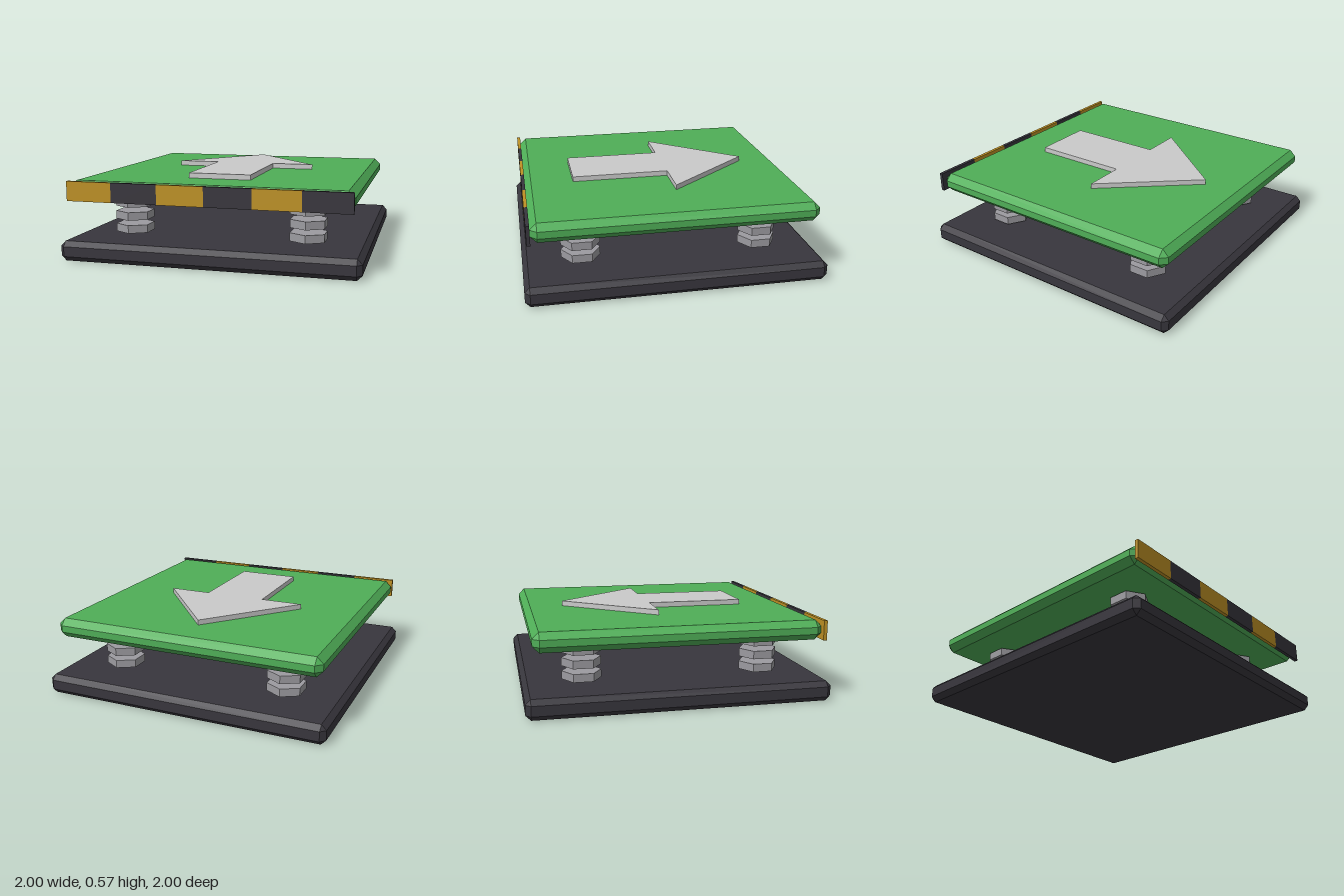
import * as THREE from 'three';
import { ConvexGeometry } from 'three/addons/geometries/ConvexGeometry.js';

const material = (name, color) => {
  const m = new THREE.MeshStandardMaterial({ color });
  m.name = name;
  return m;
};

// Box with every edge and corner cut off by the same amount
function chamferBox(w, h, d, c) {
  const points = [];
  for (const sx of [-1, 1]) for (const sy of [-1, 1]) for (const sz of [-1, 1]) {
    for (let axis = 0; axis < 3; axis++) {
      const p = [w / 2 - c, h / 2 - c, d / 2 - c];
      p[axis] += c;
      points.push(new THREE.Vector3(sx * p[0], sy * p[1], sz * p[2]));
    }
  }
  return new ConvexGeometry(points);
}

export function createModel() {
  const dark = material('charcoal', 0x38363d);
  const green = material('green', 0x4fae57);
  const yellow = material('amber', 0xbf9225);
  const steel = material('steel grey', 0x9c9ba0);
  const pale = material('pale grey', 0xcacaca);

  const model = new THREE.Group();
  model.name = 'jumpPad';
  const add = (parent, name, geometry, mat, x, y, z) => {
    const mesh = new THREE.Mesh(geometry, mat);
    mesh.name = name;
    mesh.position.set(x, y, z);
    parent.add(mesh);
    return mesh;
  };

  // Base slab
  add(model, 'base', chamferBox(2, 0.135, 2, 0.034), dark, 0, 0.0675, 0);

  // Everything above the base sits a hair off centre
  const upper = new THREE.Group();
  upper.name = 'upperAssembly';
  upper.position.x = -0.003;
  model.add(upper);

  // Four springs, each a stack of three hexagonal coils
  const coil = new THREE.CylinderGeometry(0.132, 0.132, 0.055, 6).toNonIndexed();
  coil.computeVertexNormals();
  for (const x of [-0.611, 0.611]) for (const z of [-0.611, 0.611]) {
    const spring = new THREE.Group();
    spring.name = (z > 0 ? 'front' : 'back') + (x > 0 ? 'Left' : 'Right') + 'Spring';
    spring.position.set(x, 0, z);
    for (let i = 0; i < 3; i++) add(spring, 'coil', coil, steel, 0, 0.183 + i * 0.0895, 0);
    upper.add(spring);
  }

  // Green launch plate
  add(upper, 'launchPlate', chamferBox(1.886, 0.132, 1.886, 0.043), green, 0, 0.47, 0);

  // Hazard strip along the front edge
  const step = 1.886 / 6;
  const block = new THREE.BoxGeometry(step, 0.132, 0.024);
  for (let i = 0; i < 6; i++) {
    add(upper, 'hazardBlock', block, i % 2 ? dark : yellow, (i - 2.5) * step, 0.47, 0.955);
  }

  // Raised arrow pointing to the back
  const outline = [[-0.215, -0.61], [0.215, -0.61], [0.215, 0.065], [0.512, 0.065],
    [0, 0.67], [-0.512, 0.065], [-0.215, 0.065]];
  const shape = new THREE.Shape(outline.map(([x, y]) => new THREE.Vector2(x, y)));
  const arrow = new THREE.ExtrudeGeometry(shape, { depth: 0.036, bevelEnabled: false });
  arrow.rotateX(-Math.PI / 2);
  add(upper, 'arrow', arrow, pale, 0, 0.535, 0);

  return model;
}
